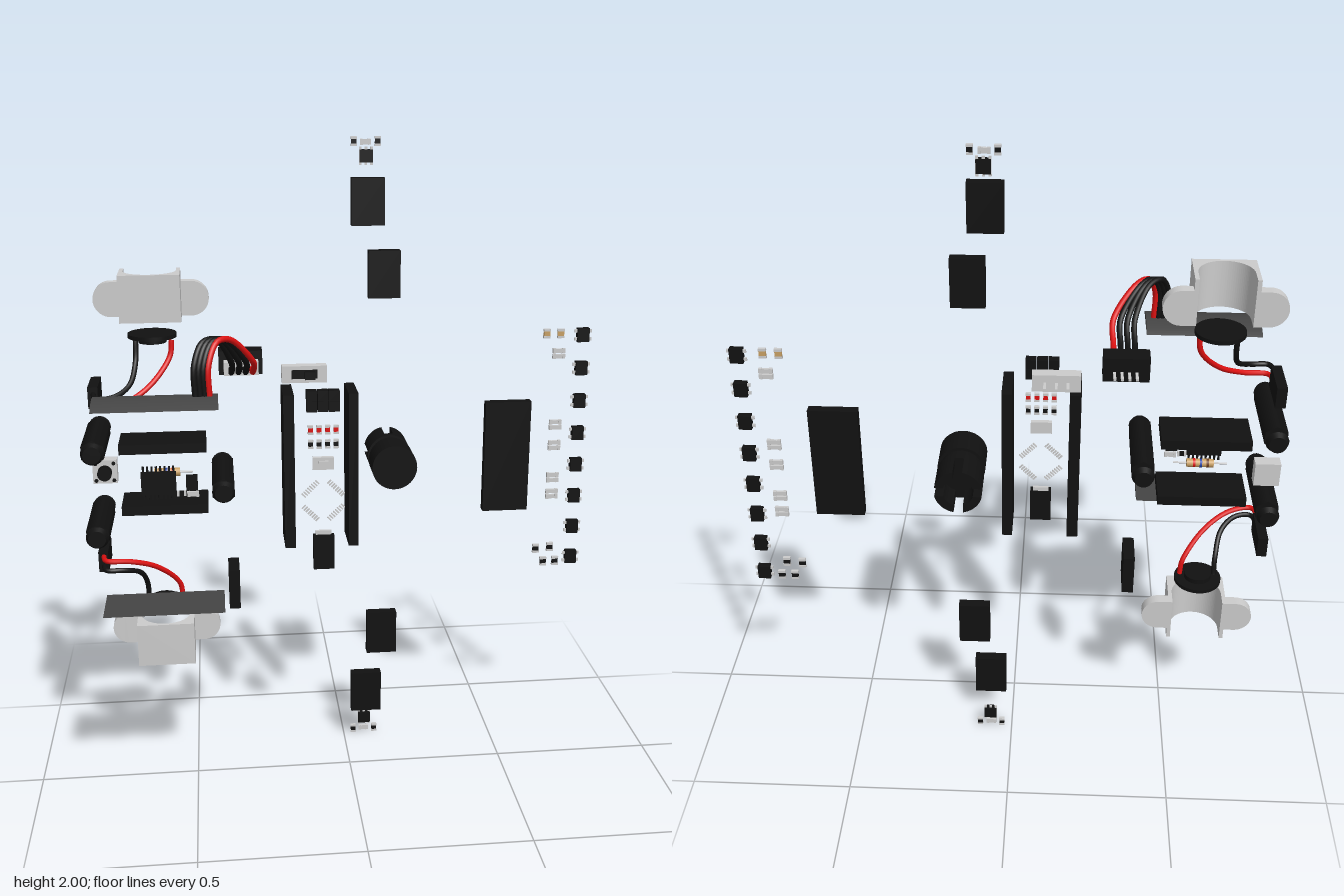
import * as THREE from 'three';

const mat = (color, side = THREE.FrontSide) => new THREE.MeshStandardMaterial({ color, side });

export function createModel() {
  const root = new THREE.Group();
  root.name = 'explodedCircuitParts';
  const black = mat(0x111111), grey = mat(0xcccccc), red = mat(0xdd1111);
  const tan = mat(0xc8a064), dark = mat(0x444444);

  const add = (name, geo, material, x = 0, y = 0, z = 0) => {
    const m = new THREE.Mesh(geo, material);
    m.name = name;
    m.position.set(x, y, z);
    root.add(m);
    return m;
  };
  // Box given by its limits
  const box = (name, material, x0, x1, y0, y1, z0, z1) => add(name,
    new THREE.BoxGeometry(x1 - x0, y1 - y0, z1 - z0), material,
    (x0 + x1) / 2, (y0 + y1) / 2, (z0 + z1) / 2);
  // Cylinder along z between two depths
  const rod = (name, material, x, y, z0, z1, r, sides = 32, r2 = r) => add(name,
    new THREE.CylinderGeometry(r2, r, z1 - z0, sides).rotateX(Math.PI / 2), material, x, y, (z0 + z1) / 2);
  const wire = (name, material, pts, r = 0.008) => add(name, new THREE.TubeGeometry(
    new THREE.CatmullRomCurve3(pts.map(p => new THREE.Vector3(...p))), 40, r, 8), material);
  const extrude = (shape, depth) => new THREE.ExtrudeGeometry(shape, { depth, bevelEnabled: false, curveSegments: 20 });

  // Surface mount part: dark or pale body with two bright end caps
  const smd = (x, y, z, w, h, body = black) => {
    const along = w > h;
    box('smallPartBody', body, x - w / 2, x + w / 2, y - h / 2, y + h / 2, z - 0.004, z + 0.004);
    for (const s of [-1, 1]) {
      const cx = along ? x + s * w * 0.4 : x, cy = along ? y : y + s * h * 0.4;
      const cw = (along ? w * 0.2 : w) / 2 + 0.001, ch = (along ? h : h * 0.2) / 2 + 0.001;
      box('smallPartCap', grey, cx - cw, cx + cw, cy - ch, cy + ch, z - 0.005, z + 0.005);
    }
  };

  // Parts that come in mirrored pairs above and below y = 1
  for (const s of [1, -1]) {
    const Y = y => 1 + s * (y - 1);
    const pair = (name, m, x0, x1, a, b, z0, z1) =>
      box(name, m, x0, x1, Math.min(Y(a), Y(b)), Math.max(Y(a), Y(b)), z0, z1);
    const mx = -0.585;

    // Motor bracket: U channel with rounded ears
    const u = new THREE.Shape();
    u.moveTo(-0.09, -0.167);
    u.lineTo(-0.09, -0.03);
    u.lineTo(0.09, -0.03);
    u.lineTo(0.09, -0.167);
    u.lineTo(0.078, -0.167);
    u.lineTo(0.078, -0.118);
    u.absarc(0, -0.118, 0.078, 0, Math.PI, false);
    u.lineTo(-0.078, -0.167);
    add('motorBracket', extrude(u, 0.14).rotateX(Math.PI / 2).translate(0, 0.07, 0), grey, mx, Y(1.555), 0);
    const ear = new THREE.Shape();
    ear.moveTo(0.085, -0.0525);
    ear.lineTo(0.12, -0.0525);
    ear.absarc(0.12, 0, 0.0525, -Math.PI / 2, Math.PI / 2, false);
    ear.lineTo(0.085, 0.0525);
    for (const a of [0, Math.PI]) {
      add('bracketEar', extrude(ear, 0.034).rotateZ(a), grey, mx, Y(1.5375), -0.167);
    }

    // Motor end cap, its wires and connector
    add('motorCap', new THREE.CylinderGeometry(0.073, 0.073, 0.012, 40), black, mx, Y(1.436), -0.1);
    add('motorCapInner', new THREE.CylinderGeometry(0.042, 0.042, 0.016, 32), black, mx, Y(1.422), -0.1);
    pair('motorConnector', black, -0.78, -0.75, 1.23, 1.295, -0.167, -0.03);
    wire('motorWireRed', red, [[-0.528, Y(1.42), -0.1], [-0.535, Y(1.37), -0.095], [-0.6, Y(1.29), -0.04],
      [-0.68, Y(1.25), 0.005], [-0.75, Y(1.242), 0.015], [-0.765, Y(1.245), -0.04]]);
    wire('motorWireBlack', black, [[-0.635, Y(1.42), -0.1], [-0.637, Y(1.36), -0.085], [-0.655, Y(1.3), -0.03],
      [-0.7, Y(1.275), 0.012], [-0.75, Y(1.272), 0.018], [-0.765, Y(1.275), -0.04]]);

    // Curved reflector strip
    const lens = new THREE.Shape();
    lens.moveTo(0.13, -s * 0.01);
    lens.quadraticCurveTo(0.2125, s * 0.03, 0.295, -s * 0.01);
    lens.lineTo(0.13, -s * 0.01);
    add('curvedStrip', extrude(lens, 0.35).rotateY(-Math.PI / 2), dark, -0.395, Y(1.314), 0);

    // Driver socket rail and corner standoff with screws
    pair('driverSocketRail', black, -0.7, -0.436, 1.083, 1.113, -0.167, -0.03);

    // Flat modules and sensor groups at the ends
    pair('endModule', black, 0.02, 0.12, 1.745, 1.885, -0.167, -0.135);
    pair('innerModule', black, 0.072, 0.17, 1.525, 1.67, -0.167, -0.135);
    pair('endSensor', black, 0.05, 0.09, 1.925, 1.963, -0.21, -0.19);
    for (const x of [0.053, 0.07, 0.087]) pair('endSensorPin', grey, x - 0.004, x + 0.004, 1.917, 1.971, -0.204, -0.199);
    smd(0.033, Y(1.987), -0.2, 0.016, 0.026);
    smd(0.105, Y(1.987), -0.2, 0.016, 0.026);
    smd(0.068, Y(1.985), -0.2, 0.03, 0.015, grey);
  }

  // Hexagonal standoffs
  for (const [x, y] of [[-0.765, 1.13], [-0.765, 0.87], [-0.388, 1]]) {
    rod('standoff', black, x, y, -0.167, 0.095, 0.038, 6);
    rod('standoffScrew', black, x, y, -0.19, 0.11, 0.016, 16);
    rod('frontScrewHead', black, x, y, 0.105, 0.122, 0.034, 24, 0.026);
    rod('backScrewHead', black, x, y, -0.207, -0.188, 0.026, 24, 0.034);
  }

  // Push button
  box('buttonBase', grey, -0.79, -0.715, 0.963, 1.038, -0.165, -0.125);
  rod('buttonCap', black, -0.7525, 1, -0.125, -0.1, 0.022);
  for (const x of [-0.78, -0.725]) for (const y of [0.973, 1.028]) rod('buttonRivet', black, x, y, -0.13, -0.122, 0.006, 10);

  // Driver chip with legs, neighbours and an axial resistor behind
  box('driverChip', black, -0.635, -0.53, 0.965, 1.035, -0.008, 0.008);
  for (let i = 0; i < 8; i++) {
    const x = -0.628 + i * 0.013;
    box('driverChipLegs', black, x - 0.003, x + 0.003, 0.948, 1.052, -0.006, 0);
  }
  box('smallChip', black, -0.5, -0.465, 0.978, 1.022, -0.008, 0.012);
  smd(-0.515, 0.965, 0, 0.026, 0.014);
  smd(-0.48, 0.962, 0, 0.034, 0.015, grey);
  const axial = (name, m, x, len, r) =>
    add(name, new THREE.CylinderGeometry(r, r, len, 16).rotateZ(Math.PI / 2), m, x, 1, -0.105);
  axial('resistorLead', grey, -0.56, 0.16, 0.003);
  axial('resistorBody', tan, -0.56, 0.08, 0.013);
  [0x6b3a1a, 0x2244aa, 0xdd1111].forEach((c, i) => axial('resistorBand', mat(c), -0.582 + i * 0.02, 0.007, 0.0137));

  // Four pin connector with its cable
  box('cableSocketTop', black, -0.39, -0.257, 1.345, 1.378, -0.167, -0.105);
  box('cableSocketBase', black, -0.39, -0.257, 1.305, 1.345, -0.167, -0.105);
  box('cablePlug', grey, -0.375, -0.27, 1.312, 1.352, -0.15, -0.065);
  for (let i = 0; i < 4; i++) {
    const a = -0.458 + i * 0.013, b = -0.353 + i * 0.021;
    wire('cableWire', i === 3 ? red : black, [[a, 1.318, 0.213], [a, 1.41, 0.21], [a + 0.025, 1.468, 0.175],
      [a + 0.065, 1.465, 0.135], [b, 1.385, 0.07], [b, 1.338, 0], [b, 1.332, -0.08]], 0.009);
    box('cableSocketPin', grey, b - 0.004, b + 0.004, 1.328, 1.336, -0.205, -0.16);
  }
  box('sideModule', black, -0.38, -0.345, 0.55, 0.68, -0.167, -0.055);

  // Slide switch
  box('slideSwitch', grey, -0.197, -0.057, 1.267, 1.32, -0.167, -0.132);
  box('slideSlot', black, -0.167, -0.087, 1.28, 1.308, -0.14, -0.13);
  box('slideKnob', black, -0.127, -0.095, 1.282, 1.306, -0.132, -0.105);
  for (const x of [-0.16, -0.127, -0.094]) box('slidePin', grey, x - 0.004, x + 0.004, 1.289, 1.297, -0.205, -0.165);

  // Controller: socket rails and surface parts
  box('rightSocketRail', black, -0.2, -0.167, 0.76, 1.255, -0.167, -0.03);
  box('leftSocketRail', black, 0, 0.03, 0.76, 1.255, -0.167, -0.03);
  for (let i = 0; i < 3; i++) for (let j = 0; j < 2; j++) {
    const x = -0.117 + i * 0.034, y = 1.231 + j * 0.033;
    box('programmingHeader', black, x - 0.016, x + 0.016, y - 0.016, y + 0.016, -0.003, 0.025);
  }
  for (let i = 0; i < 4; i++) {
    smd(-0.12 + i * 0.026, 1.153, 0, 0.014, 0.026, red);
    smd(-0.12 + i * 0.026, 1.108, 0, 0.014, 0.026);
  }
  box('resetButton', grey, -0.115, -0.05, 1.028, 1.067, -0.005, 0.01);
  box('resetButtonCap', grey, -0.098, -0.067, 1.038, 1.057, 0.01, 0.018);
  for (let q = 0; q < 4; q++) {
    const legs = new THREE.Group();
    legs.name = 'processorLegs';
    legs.position.set(-0.082, 0.924, -0.003);
    legs.rotation.z = Math.PI / 4 + q * Math.PI / 2;
    for (let i = 0; i < 8; i++) {
      const leg = new THREE.Mesh(new THREE.BoxGeometry(0.016, 0.004, 0.005), grey);
      leg.name = 'processorLeg';
      leg.position.set(0.056, (i - 3.5) * 0.0085, 0);
      legs.add(leg);
    }
    root.add(legs);
  }
  box('usbSocket', black, -0.115, -0.05, 0.705, 0.815, -0.005, 0.02);
  box('usbSocketPins', grey, -0.107, -0.058, 0.815, 0.828, -0.003, 0.006);

  // Round buzzer with a four pronged rear
  rod('buzzerBody', black, 0.15, 1, -0.167, -0.07, 0.071, 40);
  rod('buzzerNeck', black, 0.15, 1, -0.205, -0.165, 0.062, 40);
  for (let q = 0; q < 4; q++) {
    const a = q * Math.PI / 2, w = 0.2;
    const prong = new THREE.Shape();
    prong.absarc(0, 0, 0.07, a + w, a + Math.PI / 2 - w, false);
    prong.absarc(0, 0, 0.045, a + Math.PI / 2 - w * 1.6, a + w * 1.6, true);
    add('buzzerProng', extrude(prong, 0.1), black, 0.15, 1, -0.297);
  }
  rod('buzzerRearDisc', black, 0.15, 1, -0.22, -0.198, 0.07, 40);

  // Large chip and the column of line sensors
  box('flatModule', black, 0.45, 0.597, 0.82, 1.185, -0.167, -0.138);
  for (let i = 0; i < 8; i++) {
    const y = 0.623 + i * 0.1086;
    box('lineSensor', black, 0.752, 0.79, y - 0.022, y + 0.022, -0.213, -0.192);
    for (const d of [-0.013, 0.013]) box('lineSensorPins', grey, 0.743, 0.799, y + d - 0.005, y + d + 0.005, -0.204, -0.199);
  }
  for (const y of [1.325, 1.088, 1.018, 0.907, 0.85]) {
    for (const d of [-0.009, 0.009]) smd(0.695, y + d, -0.2, 0.038, 0.013, grey);
  }
  for (const [x, y] of [[0.653, 1.39], [0.698, 1.39], [0.65, 0.657], [0.698, 0.661], [0.677, 0.61], [0.718, 0.61]]) {
    smd(x, y, -0.2, 0.02, 0.028, y > 1 ? tan : black);
  }
  return root;
}
